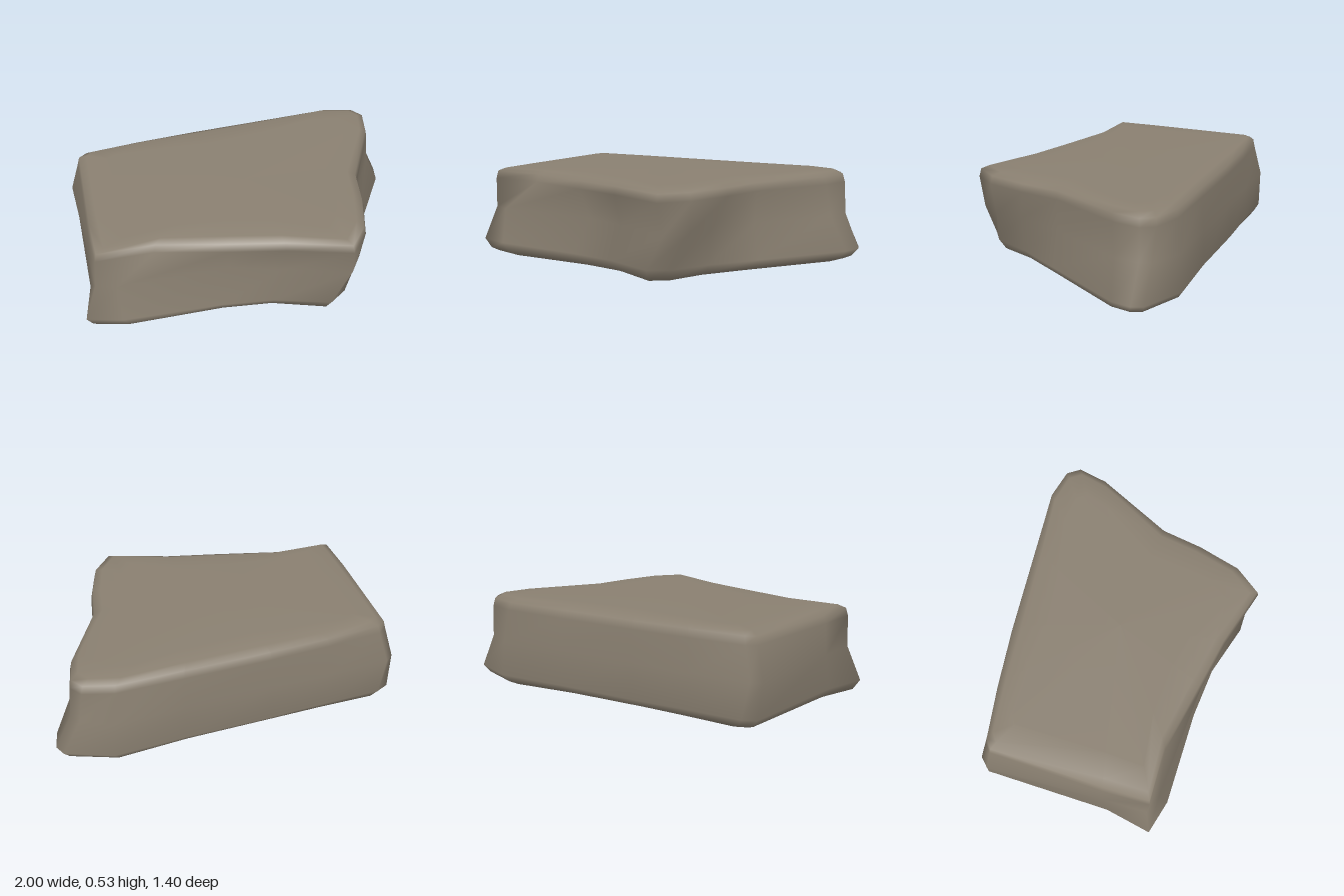
import * as THREE from 'three';

// Outlines as x, z pairs, running from the back left corner along the back
const FOOT = [-.95, -.50, -.88, -.54, -.55, -.57, -.2, -.61, .3, -.65, .71, -.70, .97, -.61, 1, -.55, .98, -.43,
  .70, .08, .55, .35, .46, .58, .36, .66, .05, .57, -.25, .545, -.8, .55, -1, .50, -.95, .23];
const WAIST = [-.97, -.48, -.92, -.53, -.56, -.57, -.2, -.60, .3, -.645, .70, -.685, .87, -.61, .91, -.55, .89, -.40,
  .66, .06, .57, .35, .55, .53, .47, .66, .10, .55, -.18, .47, -.82, .50, -.93, .46, -.94, .20];
const CROWN = [-.92, -.46, -.87, -.50, -.55, -.55, -.2, -.59, .3, -.63, .68, -.66, .85, -.62, .90, -.55, .87, -.38,
  .67, .06, .635, .30, .57, .55, .46, .70, .10, .60, -.2, .545, -.6, .46, -.92, .47, -.93, .20];

// Each ring: outline, height, inset towards the middle, slope along z
const RINGS = [
  [FOOT, .012, .22, -.012],
  [FOOT, .012, .09, -.012],
  [FOOT, .03, .04, -.012],
  [FOOT, .08, 0, 0],
  [WAIST, .28, 0, 0],
  [CROWN, .46, 0, -.01],
  [CROWN, .505, .012, -.01],
  [CROWN, .525, .06, -.012],
  [CROWN, .53, .2, -.012],
];

function slabGeometry() {
  const n = FOOT.length / 2;
  const positions = [0, .012, 0];
  for (const [outline, height, inset, slope] of RINGS) {
    for (let i = 0; i < n; i++) {
      const x = outline[2 * i], z = outline[2 * i + 1];
      const k = 1 - inset / Math.hypot(x, z);
      positions.push(x * k, height + slope * z, z * k);
    }
  }
  positions.push(0, .53, 0);
  const last = positions.length / 3 - 1;

  // Join neighbouring rings, and close both ends with fans
  const index = [];
  const at = (r, i) => 1 + r * n + (i % n);
  for (let i = 0; i < n; i++) {
    index.push(0, at(0, i), at(0, i + 1));
    for (let r = 0; r < RINGS.length - 1; r++) {
      const a = at(r, i), b = at(r, i + 1), c = at(r + 1, i), d = at(r + 1, i + 1);
      index.push(a, c, b, b, c, d);
    }
    index.push(at(RINGS.length - 1, i), last, at(RINGS.length - 1, i + 1));
  }
  const geometry = new THREE.BufferGeometry();
  geometry.setAttribute('position', new THREE.Float32BufferAttribute(positions, 3));
  geometry.setIndex(index);
  geometry.computeVertexNormals();
  return geometry;
}

export function createModel() {
  const stone = new THREE.MeshStandardMaterial({ color: 0x8a8071 });
  stone.name = 'warm grey stone';
  const slab = new THREE.Mesh(slabGeometry(), stone);
  slab.name = 'rockSlab';
  const group = new THREE.Group();
  group.name = 'rock';
  group.add(slab);
  return group;
}
